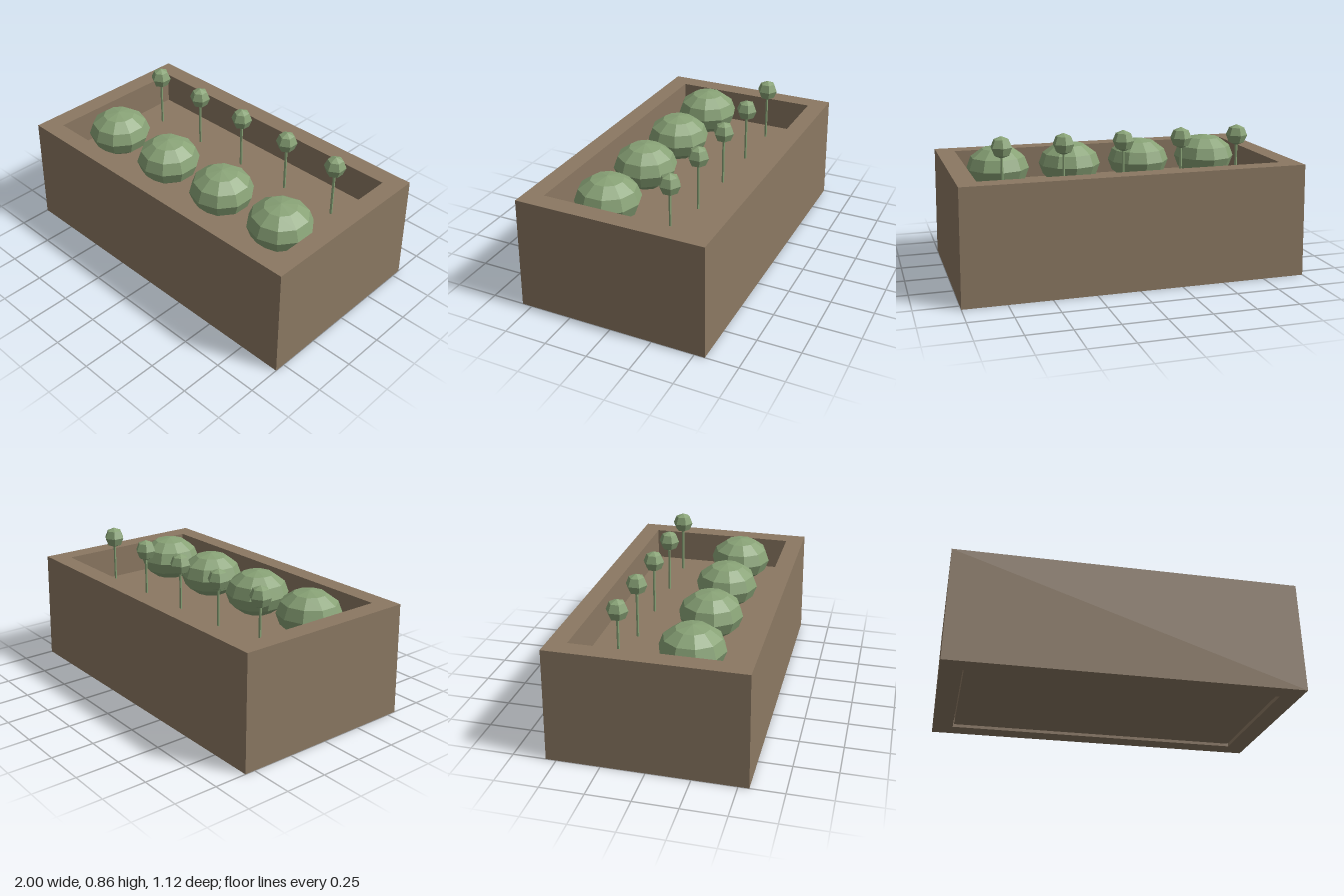
import * as THREE from 'three';

export function createModel() {
  const model = new THREE.Group();
  model.name = 'planterBox';
  const wood = new THREE.MeshStandardMaterial({ name: 'brown', color: 0x8b7862, flatShading: true });
  const leaf = new THREE.MeshStandardMaterial({ name: 'leafGreen', color: 0x88a276, flatShading: true });

  const add = (parent, name, geometry, material, x = 0, y = 0, z = 0) => {
    const mesh = new THREE.Mesh(geometry, material);
    mesh.name = name;
    mesh.position.set(x, y, z);
    parent.add(mesh);
    return mesh;
  };

  const rectangle = (PathType, w, d) => new PathType([
    new THREE.Vector2(-w, -d), new THREE.Vector2(w, -d),
    new THREE.Vector2(w, d), new THREE.Vector2(-w, d),
  ]);

  // Four walls as one hollow frame, open below, flaring slightly to the foot
  const height = 0.66;
  const outline = rectangle(THREE.Shape, 0.99, 0.55);
  outline.holes.push(rectangle(THREE.Path, 0.88, 0.442));
  const walls = new THREE.ExtrudeGeometry(outline, { depth: height, bevelEnabled: false });
  walls.rotateX(-Math.PI / 2);
  const p = walls.attributes.position;
  for (let i = 0; i < p.count; i++) {
    if (Math.abs(p.getX(i)) > 0.95 && p.getY(i) < 0.01) {
      p.setX(i, Math.sign(p.getX(i)) * 1.0);
      p.setZ(i, Math.sign(p.getZ(i)) * 0.56);
    }
  }
  walls.computeVertexNormals();
  add(model, 'walls', walls, wood);

  // Soil block with a narrow gap to the walls
  add(model, 'soil', new THREE.BoxGeometry(1.745, 0.455, 0.868), wood, 0, 0.2425, 0);

  // Squashed round shrubs in the front row
  const shrub = new THREE.SphereGeometry(0.187, 10, 6);
  shrub.rotateY(Math.PI / 2);
  shrub.scale(1, 0.72, 1);
  for (const x of [-0.66, -0.22, 0.22, 0.66]) add(model, 'shrub', shrub, leaf, x, 0.6, 0.176);

  // Tall stems with small round heads in the back row
  const head = new THREE.SphereGeometry(0.063, 6, 4);
  head.rotateY(Math.PI / 2);
  const stem = new THREE.CylinderGeometry(0.008, 0.008, 0.29, 6);
  for (let i = -2; i <= 2; i++) {
    const plant = new THREE.Group();
    plant.name = 'tallPlant';
    plant.position.set(i * 0.352, 0, -0.222);
    add(plant, 'stem', stem, leaf, 0, 0.605, 0);
    add(plant, 'head', head, leaf, 0, 0.794, 0);
    model.add(plant);
  }
  return model;
}
